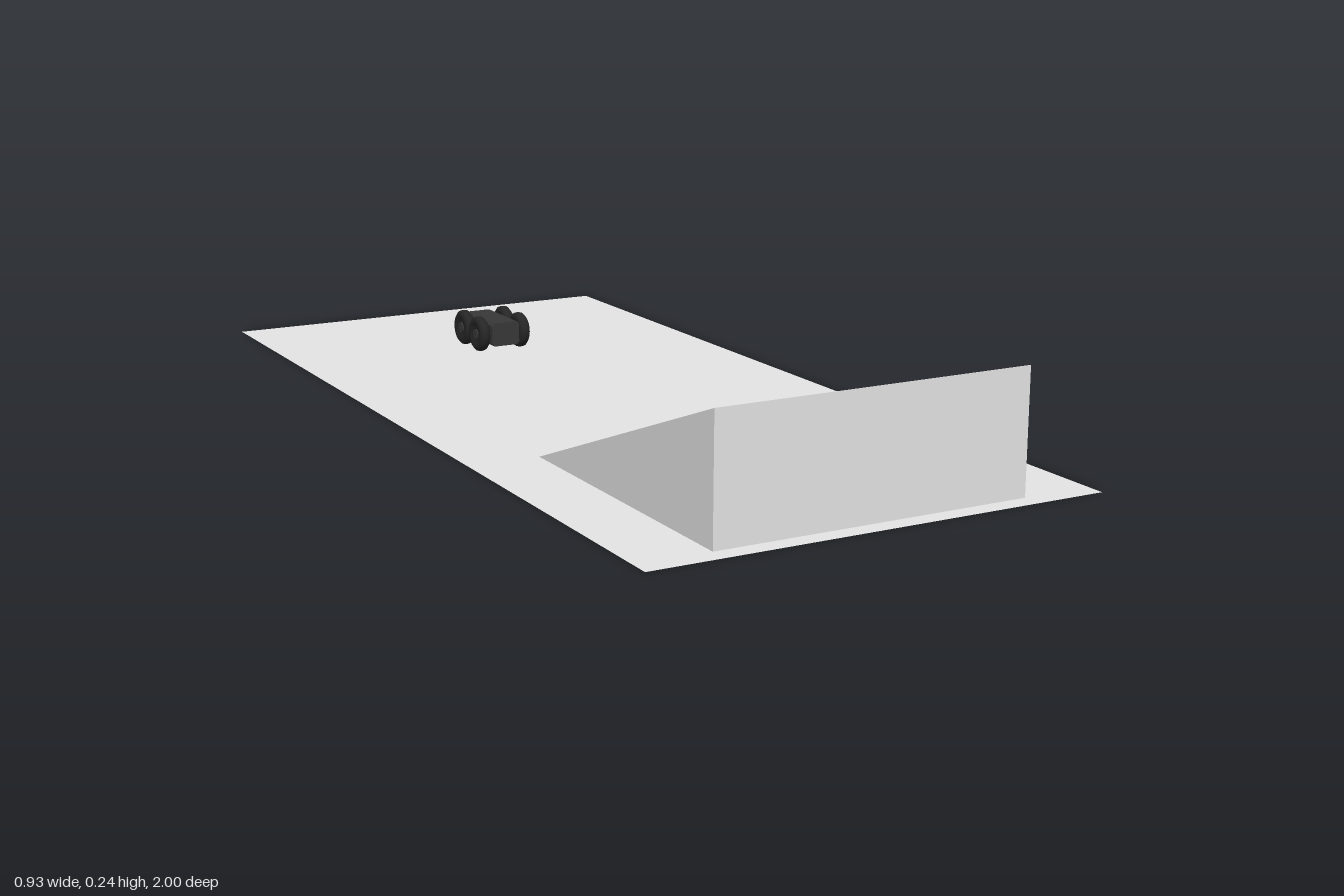
import * as THREE from 'three';

const mat = (name, color, side = THREE.FrontSide) => {
  const m = new THREE.MeshStandardMaterial({ color, side });
  m.name = name;
  return m;
};

export function createModel() {
  const group = new THREE.Group();
  const concrete = mat('pale grey', 0xe4e4e4, THREE.DoubleSide);
  const bodyMat = mat('charcoal', 0x383838);
  const tyreMat = mat('black rubber', 0x262626);

  const add = (name, geometry, material, parent = group) => {
    const mesh = new THREE.Mesh(geometry, material);
    mesh.name = name;
    parent.add(mesh);
    return mesh;
  };

  // Flat ground sheet
  add('ground', new THREE.PlaneGeometry(0.93, 2).rotateX(-Math.PI / 2), concrete);

  // Wedge ramp: side profile in (z, y), extruded across x
  const profile = new THREE.Shape([
    new THREE.Vector2(0.325, 0.001), new THREE.Vector2(0.965, 0.001), new THREE.Vector2(0.965, 0.242),
  ]);
  const wedge = new THREE.ExtrudeGeometry(profile, { depth: 0.64, bevelEnabled: false });
  wedge.rotateY(-Math.PI / 2).translate(0.32, 0, 0);
  add('ramp', wedge, concrete);

  // Small four-wheeled buggy
  const buggy = new THREE.Group();
  buggy.name = 'buggy';
  buggy.position.set(0, 0.043, -0.577);
  group.add(buggy);

  // Body: box with chamfered long edges
  const section = new THREE.Shape([
    [-0.028, -0.026], [0.028, -0.026], [0.034, -0.02], [0.034, 0.022],
    [0.028, 0.028], [-0.028, 0.028], [-0.034, 0.022], [-0.034, -0.02],
  ].map(([x, y]) => new THREE.Vector2(x, y)));
  const hull = new THREE.ExtrudeGeometry(section, { depth: 0.152, bevelEnabled: false });
  add('body', hull.translate(0, 0, -0.076), bodyMat, buggy);

  // Tyre with rounded shoulders and a recessed hub
  const tyre = new THREE.LatheGeometry([
    [0.001, -0.008], [0.02, -0.008], [0.024, -0.012], [0.033, -0.012], [0.039, -0.007],
    [0.04, 0], [0.039, 0.007], [0.033, 0.012], [0.024, 0.012], [0.02, 0.008], [0.001, 0.008],
  ].map(([r, h]) => new THREE.Vector2(r, h)), 24).rotateZ(-Math.PI / 2);
  const hub = new THREE.CylinderGeometry(0.012, 0.012, 0.022, 16).rotateZ(Math.PI / 2);
  const axle = new THREE.CylinderGeometry(0.008, 0.008, 0.1, 12).rotateZ(Math.PI / 2);

  for (const z of [-0.041, 0.041]) {
    add('axle', axle, bodyMat, buggy).position.z = z;
    for (const x of [-0.05, 0.05]) {
      const wheel = new THREE.Group();
      wheel.name = 'wheel';
      wheel.position.set(x, 0, z);
      add('tyre', tyre, tyreMat, wheel);
      add('hub', hub, bodyMat, wheel);
      buggy.add(wheel);
    }
  }
  return group;
}
